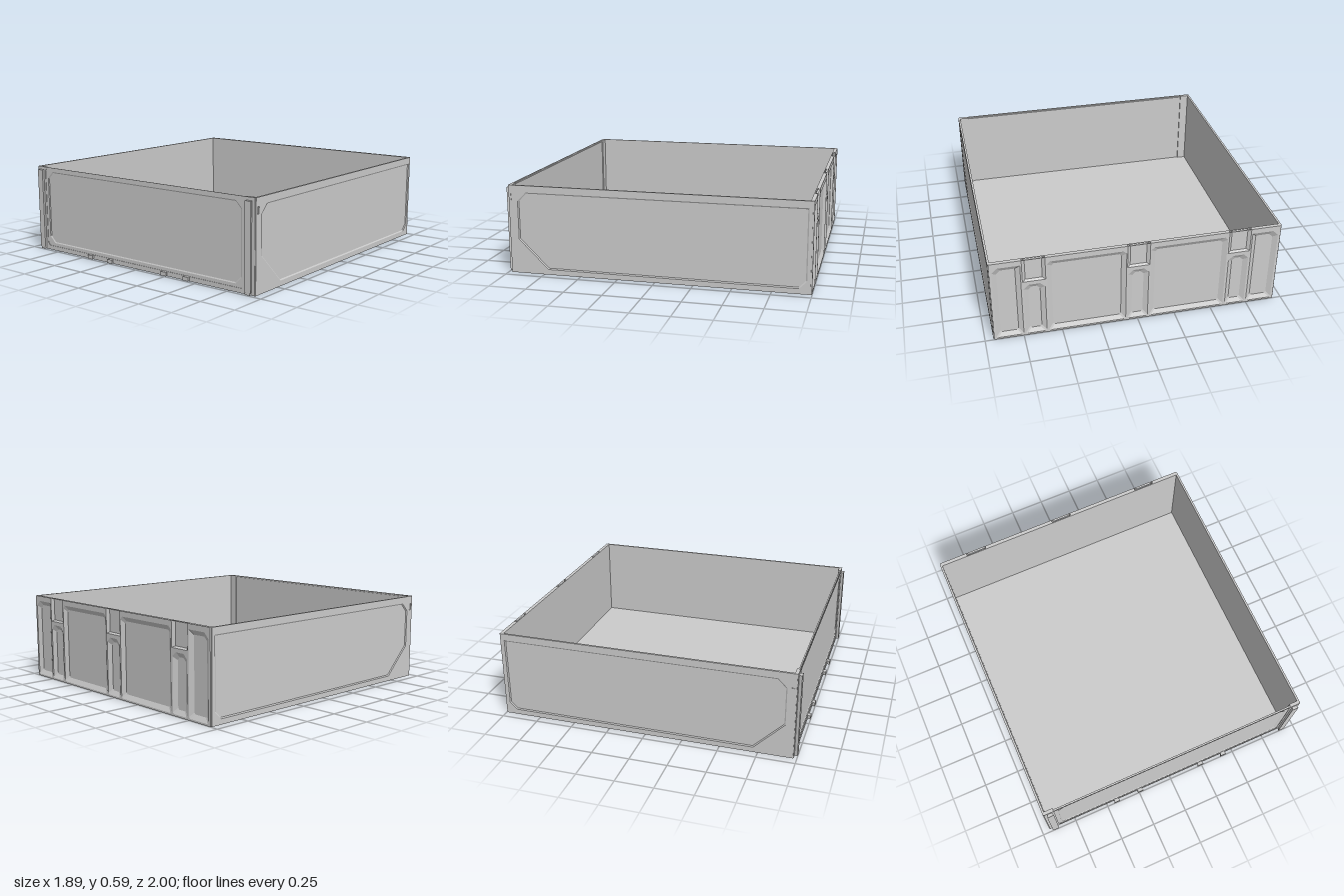
import * as THREE from 'three';

const H = 0.59;
const mat = new THREE.MeshStandardMaterial({ color: 0xcccccc, flatShading: true, side: THREE.DoubleSide });

function add(parent, name, geometry) {
  const m = new THREE.Mesh(geometry, mat);
  m.name = name;
  parent.add(m);
  return m;
}

// Box given by its limits
function block(parent, name, x0, x1, y0, y1, z0, z1) {
  const m = add(parent, name, new THREE.BoxGeometry(x1 - x0, y1 - y0, z1 - z0));
  m.position.set((x0 + x1) / 2, (y0 + y1) / 2, (z0 + z1) / 2);
  return m;
}

const toPts = (a) => a.map(([x, y]) => new THREE.Vector2(x, y));

// Rectangle with a chamfer per corner: bottom left, bottom right, top right, top left
function chamfered(x0, x1, y0, y1, [a, b, c, d]) {
  return [
    [x0 + a, y0], [x1 - b, y0], [x1, y0 + b], [x1, y1 - c],
    [x1 - c, y1], [x0 + d, y1], [x0, y1 - d], [x0, y0 + a],
  ];
}

// Flat plate with openings, facing +z
function plate(parent, name, outline, openings, depth, z) {
  const s = new THREE.Shape(toPts(outline));
  openings.forEach((o) => s.holes.push(new THREE.Path(toPts(o))));
  const m = add(parent, name, new THREE.ExtrudeGeometry(s, { depth, bevelEnabled: false }));
  m.position.z = z;
  return m;
}

// Sloping border from an opening's rim down to its floor
function slope(parent, name, rim, floor, zRim, zFloor) {
  const pos = [], n = rim.length;
  for (let i = 0; i < n; i++) {
    const j = (i + 1) % n;
    const a = [...rim[i], zRim], b = [...rim[j], zRim];
    const c = [...floor[j], zFloor], d = [...floor[i], zFloor];
    pos.push(...a, ...b, ...c, ...a, ...c, ...d);
  }
  const g = new THREE.BufferGeometry();
  g.setAttribute('position', new THREE.Float32BufferAttribute(pos, 3));
  g.computeVertexNormals();
  return add(parent, name, g);
}

// Dovetail rail standing in y, widening towards the front
function dovetail(parent, name, x, y0, y1, wBase, wTip) {
  const s = new THREE.Shape(toPts([
    [-wBase / 2, -0.978], [-wTip / 2, -1], [wTip / 2, -1], [wBase / 2, -0.978],
  ]));
  const m = add(parent, name, new THREE.ExtrudeGeometry(s, { depth: y1 - y0, bevelEnabled: false }));
  m.rotation.x = -Math.PI / 2;
  m.position.set(x, y0, 0);
}

function buildFront() {
  const g = new THREE.Group();
  g.name = 'frontWall';
  block(g, 'frontPanel', -0.93, 0.93, 0, 0.58, 0.965, 0.973);
  const frame = chamfered(-0.87, 0.87, 0.03, 0.575, [0.02, 0.02, 0.01, 0.01]);
  const panel = chamfered(-0.845, 0.845, 0.052, 0.56, [0.045, 0.045, 0.045, 0.045]);
  const panelFloor = chamfered(-0.838, 0.838, 0.059, 0.553, [0.042, 0.042, 0.042, 0.042]);
  plate(g, 'frontBorder', [[-0.941, 0], [0.941, 0], [0.941, H], [-0.941, H]], [frame], 0.004, 0.976);
  plate(g, 'frontFrame', chamfered(-0.93, 0.93, 0, 0.585, [0, 0, 0, 0]), [panel], 0.004, 0.973);
  slope(g, 'frontPanelEdge', panel, panelFloor, 0.977, 0.973);
  for (const s of [-1, 1]) {
    const x = s * 0.902;
    block(g, 'cornerPost', x - 0.03, x + 0.03, 0, H, 0.957, 0.976);
    dovetail(g, 'cornerRail', x, 0.018, 0.57, 0.03, 0.046);
    dovetail(g, 'railFoot', x, 0.004, 0.018, 0.026, 0.036);
    for (const px of [0.24, 0.425]) dovetail(g, 'bottomPeg', s * px, 0.004, 0.03, 0.03, 0.045);
  }
  return g;
}

function buildSide() {
  const g = new THREE.Group();
  g.name = 'sideWall';
  // Drawn with u = -z, then turned to face +x
  const panel = [
    [-0.72, 0.035], [0.92, 0.035], [0.968, 0.083], [0.968, 0.545],
    [-0.86, 0.545], [-0.918, 0.487], [-0.918, 0.23],
  ];
  const floor = [
    [-0.717, 0.043], [0.917, 0.043], [0.96, 0.086], [0.96, 0.537],
    [-0.857, 0.537], [-0.91, 0.484], [-0.91, 0.233],
  ];
  const slot = chamfered(-0.963, -0.946, 0.49, 0.535, [0, 0, 0, 0]);
  plate(g, 'sideFrame', [[-0.976, 0], [0.99, 0], [0.99, H], [-0.976, H]], [panel, slot], 0.005, 0.941);
  slope(g, 'sidePanelEdge', panel, floor, 0.946, 0.941);
  block(g, 'sidePanel', -0.976, 0.99, 0, H, 0.932, 0.941);
  g.rotation.y = Math.PI / 2;
  return g;
}

function buildBack() {
  const g = new THREE.Group();
  g.name = 'backWall';
  const zFloor = 0.981, zRim = 0.999;
  block(g, 'backPanel', -0.941, 0.941, 0, H, 0.974, zFloor);

  // Pockets: two outer, two large, three short ones below the notches
  const tall = 0.555, low = 0.4, y0 = 0.012;
  const pockets = [
    [-0.925, -0.75, tall, 0, 0.035], [0.75, 0.925, tall, 0.035, 0],
    [-0.585, -0.08, tall, 0.02, 0.02], [0.08, 0.585, tall, 0.02, 0.02],
    [-0.735, -0.6, low, 0.03, 0.03], [-0.067, 0.067, low, 0.03, 0.03], [0.6, 0.735, low, 0.03, 0.03],
  ];
  const openings = pockets.map(([x0, x1, y1, c, d]) => {
    const rim = chamfered(x0, x1, y0, y1, [0.01, 0.01, c, d]);
    const e = 0.03;
    const floor = chamfered(x0 + e, x1 - e, y0 + e, y1 - e, [0.01, 0.01, c * 0.7, d * 0.7]);
    slope(g, 'pocketEdge', rim, floor, zRim, zFloor);
    return rim;
  });

  // Outline with three notches open at the top
  const outline = [[-0.941, 0], [0.941, 0], [0.941, H]];
  for (const x of [0.667, 0, -0.667]) {
    const w = 0.073, yb = 0.425;
    outline.push([x + w, H], [x + w, yb], [x - w, yb], [x - w, H]);
    slope(g, 'notchEdge',
      [[x - w, H], [x - w, yb], [x + w, yb], [x + w, H]],
      [[x - w + 0.02, H], [x - w + 0.02, yb + 0.01], [x + w - 0.02, yb + 0.01], [x + w - 0.02, H]],
      zRim, zFloor + 0.003);
  }
  outline.push([-0.941, H]);
  plate(g, 'backRibs', outline, openings, zRim - zFloor, zFloor);
  g.rotation.y = Math.PI;
  return g;
}

export function createModel() {
  const model = new THREE.Group();
  model.name = 'openBox';
  block(model, 'floor', -0.941, 0.941, 0, 0.012, -0.99, 0.976);
  model.add(buildFront(), buildBack());

  // Mirrored side walls
  for (const s of [1, -1]) {
    const holder = new THREE.Group();
    holder.name = s > 0 ? 'leftSide' : 'rightSide';
    holder.add(buildSide());
    holder.scale.x = s;
    model.add(holder);
  }
  return model;
}
